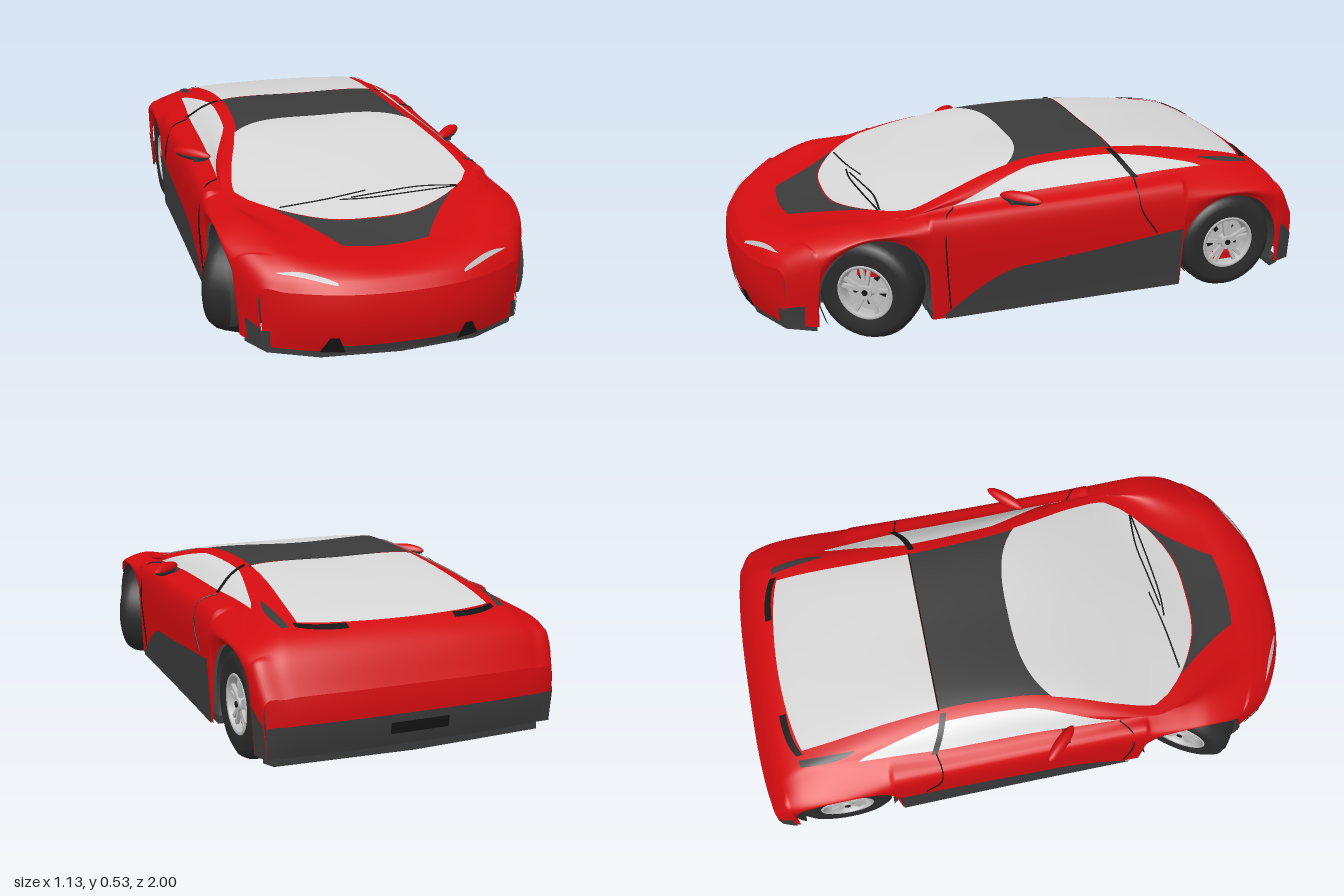
import * as THREE from 'three';

const mat = (name, color) => new THREE.MeshStandardMaterial({ name, color, side: THREE.DoubleSide });

// Body sections: station, roof centre height, rail x/y, belt x/y, shoulder x/y
const frontSections = [
  [1.0, .26, .20, .262, .34, .262, .42, .25],
  [.97, .298, .20, .30, .34, .30, .435, .272],
  [.90, .322, .21, .333, .36, .338, .465, .305],
  [.80, .338, .23, .350, .38, .368, .488, .345],
  [.66, .367, .30, .376, .41, .398, .50, .376],
  [.55, .400, .37, .396, .43, .403, .503, .379],
  [.44, .432, .405, .415, .437, .408, .504, .377],
  [.30, .468, .385, .455, .437, .42, .504, .37],
  [.15, .500, .345, .492, .436, .428, .504, .37],
];
const rearSections = [
  [0, .517, .315, .514, .432, .433, .504, .37],
  [-.20, .525, .302, .52, .431, .437, .505, .372],
  [-.33, .521, .302, .515, .43, .44, .506, .376],
  [-.50, .507, .31, .50, .42, .445, .508, .382],
  [-.70, .475, .325, .468, .41, .44, .51, .386],
  [-.82, .450, .33, .441, .41, .425, .51, .38],
  [-.90, .415, .33, .408, .42, .398, .508, .36],
  [-.95, .365, .33, .36, .43, .352, .502, .325],
  [-1.0, .27, .33, .268, .42, .262, .485, .245],
];
const sections = [...frontSections, ...rearSections];
const axles = [.575, -.71], wheelY = .175, archR = .187;

// Smooth interpolation between sections
function sectionAt(s) {
  const n = sections.length;
  let i = 0;
  while (i < n - 2 && s < sections[i + 1][0]) i++;
  const a = sections[i], b = sections[i + 1], h = b[0] - a[0], t = (s - a[0]) / h;
  const slope = (j, c) => {
    const p = sections[Math.max(j - 1, 0)], q = sections[Math.min(j + 1, n - 1)];
    return (q[c] - p[c]) / (q[0] - p[0]);
  };
  return a.map((v, c) => c === 0 ? s :
    (2 * t ** 3 - 3 * t * t + 1) * v + (t ** 3 - 2 * t * t + t) * h * slope(i, c) +
    (3 * t * t - 2 * t ** 3) * b[c] + (t ** 3 - t * t) * h * slope(i + 1, c));
}

// Lower body edge, lifted over the wheels
function sill(s, z) {
  let y = s > .5 ? .07 : s < -.6 ? .08 : .05;
  for (const c of axles) {
    const d = archR ** 2 - (z - c) ** 2;
    if (d > 0) y = Math.max(y, wheelY + Math.sqrt(d));
  }
  return y;
}

// Body skin: k = 0 centre, 1 roof rail, 2 belt, 3 shoulder, 4 sill; negative k mirrors
function skin(s, k) {
  const [, c, xr, yr, xb, yb, xs, ys] = sectionAt(s);
  const g = (Math.max(0, Math.abs(s) - .4) / .6) ** 2;
  const zAt = x => .99 * s - g * (s > 0 ? .125 * (Math.abs(x) / .42) ** 2.5 : -.03 * (Math.abs(x) / .48) ** 3);
  const xl = xs - .008, yl = sill(s, zAt(xl));
  const p = [[-xr, yr], [0, c], [xr, yr], [xb, yb], [xs, ys], [xl, yl], [2 * xl - xs, 2 * yl - ys]];
  const a = Math.abs(k), i = Math.min(Math.floor(a), 3), t = a - i;
  const cr = d => {
    const [p0, p1, p2, p3] = [0, 1, 2, 3].map(j => p[i + j][d]);
    return .5 * (2 * p1 + (p2 - p0) * t + (2 * p0 - 5 * p1 + 4 * p2 - p3) * t * t + (3 * p1 - p0 - 3 * p2 + p3) * t ** 3);
  };
  const x = cr(0);
  return new THREE.Vector3(Math.sign(k) * x, cr(1), zAt(x));
}

// Skin point pushed outwards
function raised(s, k, off) {
  const e = .002, p = skin(s, k);
  const ds = skin(Math.min(s + e, 1), k).sub(skin(Math.max(s - e, -1), k));
  const dk = skin(s, Math.min(k + e, 4)).sub(skin(s, Math.max(k - e, -4)));
  return p.addScaledVector(ds.cross(dk).normalize(), off);
}

// Nose or tail face, from the skin's end edge (r = 0) down to the sill (r = 1)
function endFace(e, k, r, off = 0) {
  const p = skin(e, k), q = Math.abs(k) / 3, w = 1 - q ** 4;
  p.z += e * (w * (.01 * Math.sin(Math.PI * r) - .012 * r * r) + off);
  p.y += (sill(e, p.z) - p.y) * r;
  p.x = p.x * (1 - .019 * r) + Math.sign(k) * off * q * q;
  return p;
}

function grid(fn, nu, nv) {
  const pos = [], idx = [];
  for (let i = 0; i <= nu; i++) for (let j = 0; j <= nv; j++) {
    pos.push(...fn(i / nu, j / nv).toArray());
    if (i < nu && j < nv) {
      const a = i * (nv + 1) + j, b = a + nv + 1;
      idx.push(a, b, a + 1, b, b + 1, a + 1);
    }
  }
  const g = new THREE.BufferGeometry();
  g.setAttribute('position', new THREE.Float32BufferAttribute(pos, 3));
  g.setIndex(idx);
  g.computeVertexNormals();
  return g;
}

export function createModel() {
  const car = new THREE.Group();
  const red = mat('red paint', 0xd20c10), glass = mat('pale glass', 0xd6d6d6), dark = mat('dark trim', 0x3b3b3b);
  const black = mat('black', 0x141414), rubber = mat('tyre rubber', 0x2a2a2a), silver = mat('silver', 0xbdbdbd);
  const lerp = THREE.MathUtils.lerp;

  const add = (name, geo, m, parent = car) => {
    const mesh = new THREE.Mesh(geo, m);
    mesh.name = name;
    parent.add(mesh);
    return mesh;
  };
  const plate = (name, m, f, off = .004, nu = 40, nv = 24) =>
    add(name, grid((u, v) => raised(...f(u, v), off), nu, nv), m);
  const endPlate = (name, m, e, k0, k1, r0, r1, off = .004) =>
    add(name, grid((u, v) => endFace(e, lerp(k0, k1, u), lerp(r0, r1, v), off), 24, 8), m);
  const line = (name, pts, r = .003) =>
    add(name, new THREE.TubeGeometry(new THREE.CatmullRomCurve3(pts.map(([s, k]) => raised(s, k, r * .5))), 24, r, 5), black);

  // Painted shell with nose and tail
  add('bodyShell', grid((u, v) => skin(1 - 2 * u, 8 * v - 4), 240, 64), red);
  for (const e of [1, -1]) add(e > 0 ? 'nose' : 'tail', grid((u, v) => endFace(e, 6 * u - 3, v), 48, 12), red);

  // Glass, roof and hood panels
  const cowl = k => .66 - .22 * Math.abs(k) ** 3.5;
  const roofFront = k => -.015 + .09 * Math.abs(k) ** 3;
  plate('windscreen', glass, (u, v) => { const k = 2 * v - 1; return [lerp(cowl(k), roofFront(k), u), k]; });
  plate('roofPanel', dark, (u, v) => { const k = (2 * v - 1) * .98; return [lerp(roofFront(k), -.32, u), k]; });
  plate('rearWindow', glass, (u, v) => { const k = (2 * v - 1) * .98; return [lerp(-.325, -.86 + .04 * k * k, u), k]; });
  plate('hoodPanel', dark, (u, v) => {
    const k = (2 * v - 1) * lerp(.8, .6, u);
    return [lerp(cowl(k) + .004, .82 - .03 * Math.abs(k) ** 2, u), k];
  });
  line('roofSeam', [[-.322, -1], [-.322, -.5], [-.322, 0], [-.322, .5], [-.322, 1]]);

  // Wipers
  line('wiperLong', [[.535, .85], [.55, .4], [.56, 0], [.555, -.2]], .004);
  line('wiperShort', [[.52, .05], [.545, -.3], [.565, -.72]], .004);
  line('wiperArm', [[.53, .85], [.52, .5], [.535, .2], [.55, -.1]], .004);

  for (const m of [1, -1]) {
    // Side glass, pillar and vents
    plate('sideWindow', glass, (u, v) => {
      const bulge = Math.min(1, Math.sin(Math.PI * u) ** .6 * 1.1);
      return [lerp(.3, -.63, u), m * lerp(1.88 - .68 * bulge, 1.9, v)];
    });
    plate('doorPillar', black, (u, v) => { const k = lerp(1.05, 2, u); return [-.295 - .06 * (k - 1) - .022 * v, m * k]; }, .007, 16, 2);
    plate('rearVent', dark, (u, v) => [lerp(-.64, -.84, u), m * lerp(1.35 - .2 * u, 1.4 + .25 * Math.sin(Math.PI * u), v)], .004, 16, 6);
    plate('deckVent', black, (u, v) => [lerp(-.855, -.88, v) + .035 * u * u, m * lerp(.5, 1.05, u)], .005, 12, 3);

    // Door seams
    line('doorSeamFront', [[.30, m * 2], [.335, m * 2.6], [.345, m * 3.2], [.33, m * 3.9]], .0025);
    line('doorSeamRear', [[-.36, m * 2], [-.35, m * 2.6], [-.36, m * 3.1], [-.42, m * 3.4]], .0025);

    // Sill skirt
    plate('sideSkirt', dark, (u, v) => {
      const top = u < .35 ? lerp(3.95, 3.54, Math.sin(u / .35 * Math.PI / 2)) : lerp(3.54, 3.4, (u - .35) / .65);
      return [lerp(.35, -.52, u), m * lerp(top, 4, v)];
    }, .006, 40, 8);

    // Headlights and bumper corners
    plate('headlight', silver, (u, v) => [lerp(.984, .955, u) - .018 * v * Math.sin(Math.PI * Math.min(1, .1 + u * .9)), m * lerp(1.0, 2.25, u)], .004, 20, 3);
    endPlate('frontCorner', dark, 1, m * 2.6, m * 3, .7, 1);
    plate('frontCornerSide', dark, (u, v) => [lerp(1, .93, u), m * lerp(3.68, 4, v)], .004, 6, 6);
    plate('rearCornerSide', dark, (u, v) => [lerp(-1, -.945, u), m * lerp(3.45, 4, v)], .004, 6, 6);
    add('frontIntake', grid((u, v) => endFace(1, m * lerp(1.02 - .12 * v, 1.18 + .2 * v, u), lerp(.72, 1, v), .006), 8, 6), black);

    // Door mirror
    const mirror = new THREE.Group();
    mirror.name = 'mirror';
    mirror.position.set(m * .482, .442, .075);
    mirror.rotation.y = m * .8;
    car.add(mirror);
    add('mirrorCap', new THREE.SphereGeometry(1, 20, 8, 0, Math.PI * 2, 0, Math.PI / 2), red, mirror).scale.set(.078, .025, .022);
    add('mirrorBase', new THREE.SphereGeometry(1, 20, 8, 0, Math.PI * 2, Math.PI / 2, Math.PI / 2), dark, mirror).scale.set(.074, .02, .021);
    const stalk = add('mirrorStalk', new THREE.BoxGeometry(.06, .014, .02), dark);
    stalk.position.set(m * .452, .43, .1);
  }

  // Bumper trim
  endPlate('frontLip', dark, 1, -1.1, 1.1, .88, 1);
  endPlate('rearBumper', dark, -1, -3, 3, .45, 1);
  endPlate('plateRecess', black, -1, -.28, .28, .58, .78, .008);

  // Floor pan with notches for the wheels
  const half = [[.25, .94], [.40, .865], [.45, .77], [.25, .77], [.25, .39], [.485, .39], [.485, -.52],
    [.25, -.52], [.25, -.9], [.47, -.9], [.45, -.94]];
  const outline = [[0, .965], ...half, [0, -.965], ...half.map(([x, z]) => [-x, z]).reverse()];
  const floor = new THREE.ExtrudeGeometry(new THREE.Shape(outline.map(p => new THREE.Vector2(...p))), { depth: .025, bevelEnabled: false });
  add('floorPan', floor.rotateX(Math.PI / 2), dark).position.y = .073;

  // Wheels and wheel wells
  const lathe = pts => new THREE.LatheGeometry(pts.map(p => new THREE.Vector2(...p)), 40).rotateZ(-Math.PI / 2);
  const tyreGeo = lathe([[.095, -.065], [.14, -.074], [.163, -.062], [.173, -.042], [.175, -.02], [.175, .02],
    [.173, .042], [.163, .062], [.14, .074], [.095, .065]]);
  const rimGeo = lathe([[.098, .064], [.094, .069], [.086, .066], [.083, .045], [.083, -.06], [.096, -.066]]);
  const discGeo = new THREE.CylinderGeometry(.082, .082, .012, 32).rotateZ(Math.PI / 2);
  const hubGeo = new THREE.CylinderGeometry(.022, .026, .03, 20).rotateZ(-Math.PI / 2);
  const wellGeo = new THREE.CylinderGeometry(archR, archR, .25, 32, 1, true, -.5, Math.PI + 1).rotateZ(Math.PI / 2);
  const wellWall = new THREE.CircleGeometry(archR, 32, -.5, Math.PI + 1).rotateY(Math.PI / 2);
  for (const z of axles) for (const m of [1, -1]) {
    const front = z > 0;
    add('wheelWell', wellGeo, dark).position.set(m * .365, wheelY, z);
    add('wheelWellWall', wellWall, dark).position.set(m * .24, wheelY, z);

    const wheel = new THREE.Group();
    wheel.name = front ? 'frontWheel' : 'rearWheel';
    wheel.position.set(m * .42, wheelY, z);
    wheel.rotation.y = (m > 0 ? 0 : Math.PI) - (front ? .6 : 0);
    car.add(wheel);
    add('tyre', tyreGeo, rubber, wheel);
    add('rim', rimGeo, silver, wheel);
    add('brakeDisc', discGeo, silver, wheel).position.x = .015;
    add('wheelBack', discGeo, dark, wheel).position.x = -.03;
    add('hub', hubGeo, silver, wheel).position.x = .05;
    add('hubCap', new THREE.CylinderGeometry(.01, .01, .006, 16).rotateZ(Math.PI / 2), black, wheel).position.x = .066;
    const caliper = add('brakeCaliper', new THREE.BoxGeometry(.02, .026, .07), red, wheel);
    caliper.position.set(.03, front ? .062 : -.062, 0);
    for (let i = 0; i < 5; i++) for (const side of [-1, 1]) {
      const spoke = new THREE.BoxGeometry(.012, .07, .012).translate(.052, .052, 0)
        .rotateX(side * .16 + i * Math.PI * .4);
      add('spoke', spoke, silver, wheel);
    }
    for (let i = 0; i < 5; i++) {
      const a = (i + .5) * Math.PI * .4;
      add('wheelSlot', new THREE.BoxGeometry(.004, .022, .016).translate(.023, .05, 0).rotateX(a), black, wheel);
    }
  }
  return car;
}
